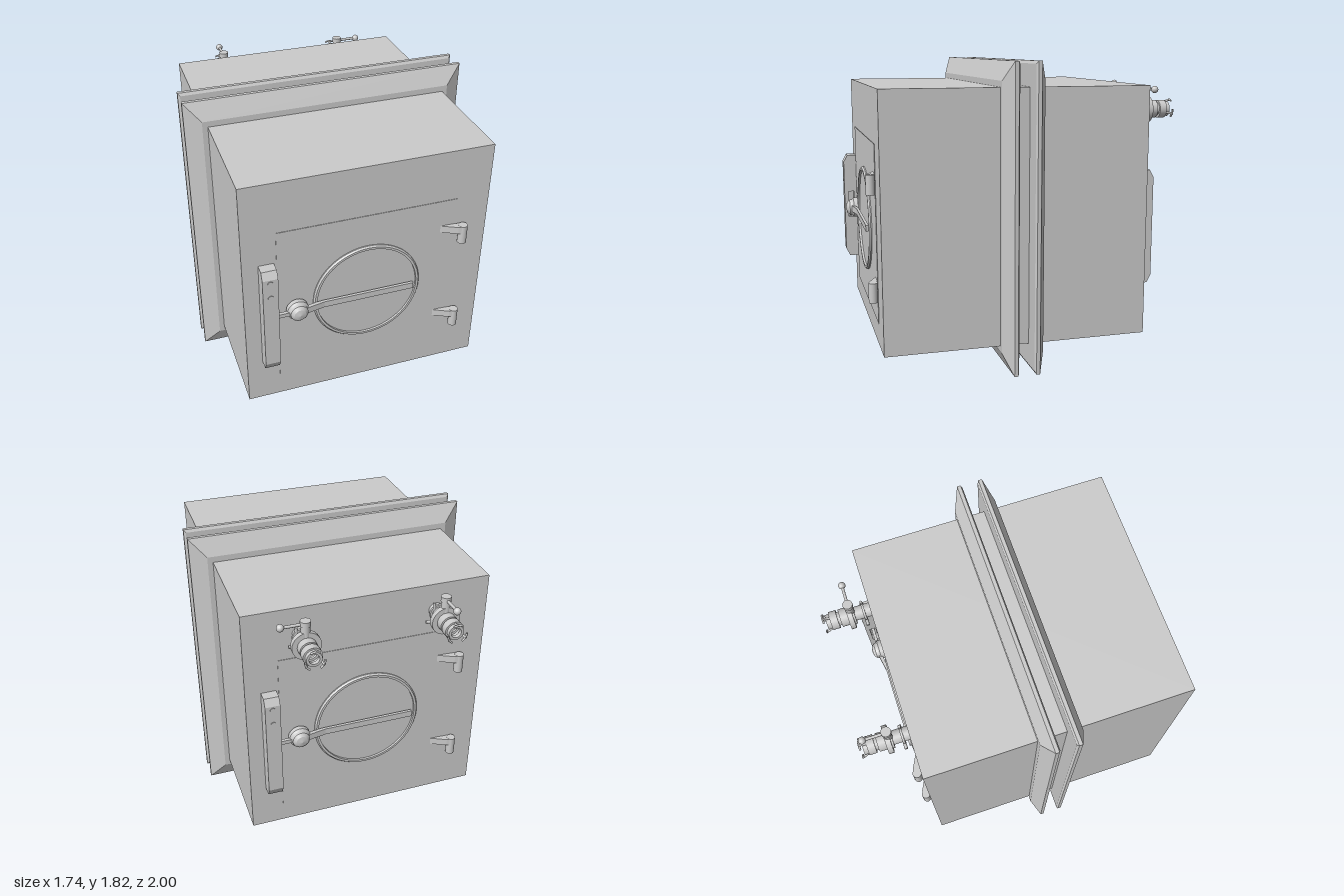
import * as THREE from 'three';

const grey = new THREE.MeshStandardMaterial({ color: 0xcccccc, side: THREE.DoubleSide });
const V = (x, y, z) => new THREE.Vector3(x, y, z);

function add(parent, name, geometry, x = 0, y = 0, z = 0) {
  const mesh = new THREE.Mesh(geometry, grey);
  mesh.name = name;
  mesh.position.set(x, y, z);
  parent.add(mesh);
  return mesh;
}

const box = (w, h, d) => new THREE.BoxGeometry(w, h, d);
const cyl = (r, h, n = 20) => new THREE.CylinderGeometry(r, r, h, n);

// Turned part along z (dir = 1 forward, -1 backward), with crisp edges between steps
function turned(points, dir = 1, segments = 28) {
  const profile = [];
  points.forEach(([r, h], i) => {
    profile.push(new THREE.Vector2(r, h));
    if (i > 0 && i < points.length - 1) profile.push(new THREE.Vector2(r, h + 1e-5));
  });
  return new THREE.LatheGeometry(profile, segments).rotateX(dir * Math.PI / 2);
}

// Straight round rod between two points
function rod(a, b, r) {
  return new THREE.TubeGeometry(new THREE.LineCurve3(a, b), 1, r, 10);
}

// Loft through rectangles [halfWidth, halfHeight, z], capped at both ends
function rectLoft(sections) {
  const pos = [];
  const corners = sections.map(([w, h, z]) => [[-w, -h, z], [w, -h, z], [w, h, z], [-w, h, z]]);
  const quad = (a, b, c, d) => pos.push(...a, ...b, ...c, ...a, ...c, ...d);
  for (let i = 0; i < corners.length - 1; i++) {
    for (let k = 0; k < 4; k++) {
      const n = (k + 1) % 4;
      quad(corners[i][k], corners[i][n], corners[i + 1][n], corners[i + 1][k]);
    }
  }
  const first = corners[0], last = corners[corners.length - 1];
  quad(first[3], first[2], first[1], first[0]);
  quad(last[0], last[1], last[2], last[3]);
  const g = new THREE.BufferGeometry();
  g.setAttribute('position', new THREE.Float32BufferAttribute(pos, 3));
  g.computeVertexNormals();
  return g;
}

// Catch housing slice: chamfered side profile extruded across x, optionally slotted
function housing(width, slotted) {
  const s = new THREE.Shape([[0, 0.44], [0, 1.155], [-0.06, 1.155], [-0.085, 1.11], [-0.085, 0.49], [-0.06, 0.44]]
    .map(p => new THREE.Vector2(...p)));
  if (slotted) {
    s.holes.push(new THREE.Path([[-0.02, 0.72], [-0.06, 0.72], [-0.06, 0.9], [-0.02, 0.9]]
      .map(p => new THREE.Vector2(...p))));
  }
  return new THREE.ExtrudeGeometry(s, { depth: width, bevelEnabled: false }).rotateY(Math.PI / 2);
}

// Door with window, latch and hinges; z = 0 is the wall face
function makeDoor() {
  const door = new THREE.Group();
  add(door, 'doorPanel', box(1.08, 1.07, 0.006), 0, 0.82, 0);

  // Round window
  add(door, 'windowRim', turned([[0.33, 0], [0.33, 0.01], [0.322, 0.02], [0.308, 0.02], [0.308, 0]], 1, 64), 0, 0.82, 0);
  add(door, 'windowPane', new THREE.CircleGeometry(0.31, 64), 0, 0.82, 0.006);

  // Catch housing with two screws
  add(door, 'catchBack', housing(0.05, false), -0.645, 0, 0);
  add(door, 'catchFront', housing(0.04, true), -0.595, 0, 0);
  for (const y of [0.985, 1.085]) {
    add(door, 'catchScrew', cyl(0.016, 0.008).rotateX(Math.PI / 2), -0.6, y, 0.085);
  }

  // Pivot knob, latch tongue and long lever
  add(door, 'pivotKnob', turned([[0.05, 0], [0.065, 0.012], [0.065, 0.04], [0.055, 0.05], [0.052, 0.066], [0.035, 0.082], [0, 0.09]]), -0.43, 0.81, 0);
  add(door, 'latchTongue', box(0.15, 0.024, 0.02), -0.54, 0.805, 0.04);
  const lever = new THREE.Shape();
  lever.moveTo(-0.43, -0.055);
  lever.lineTo(-0.38, -0.055);
  lever.lineTo(-0.27, -0.035);
  lever.lineTo(0.285, -0.035);
  lever.lineTo(0.285, -0.018);
  lever.lineTo(-0.28, -0.018);
  lever.lineTo(-0.39, -0.033);
  lever.lineTo(-0.43, -0.033);
  add(door, 'lever', new THREE.ExtrudeGeometry(lever, { depth: 0.04, bevelEnabled: false })
    .rotateX(-Math.PI / 2).scale(1, 1, 1), 0, 0.79, 0);

  // Hinges
  for (const y of [0.49, 1.127]) {
    add(door, 'hingeBarrel', cyl(0.027, 0.118), 0.575, y, 0.034);
    const leaf = new THREE.Shape([[0.44, 0], [0.57, -0.008], [0.59, -0.03], [0.57, -0.058], [0.54, -0.05]]
      .map(p => new THREE.Vector2(...p)));
    add(door, 'hingeLeaf', new THREE.ExtrudeGeometry(leaf, { depth: 0.045, bevelEnabled: false })
      .rotateX(-Math.PI / 2), 0, y + 0.012, 0);
  }
  // Extrusions laid flat run along +y with depth toward +z
  return door;
}

// Valve pointing backward from the wall at z = 0; leverAngle turns the hand lever
function makeValve(leverAngle) {
  const valve = new THREE.Group();
  valve.name = 'valve';
  add(valve, 'neck', turned([[0, 0], [0.042, 0], [0.042, 0.1], [0.06, 0.1], [0.06, 0.112], [0.085, 0.112],
    [0.085, 0.143], [0.055, 0.143], [0.055, 0.19], [0.042, 0.19], [0.042, 0.205], [0.056, 0.205],
    [0.056, 0.25], [0.045, 0.25], [0.045, 0.275], [0.03, 0.275], [0.03, 0.25]], -1), 0, 0, 0);

  // Clamp ring with its small screw
  add(valve, 'clampRing', turned([[0.04, 0.036], [0.055, 0.036], [0.055, 0.05], [0.04, 0.05]], -1));
  add(valve, 'clampScrew', cyl(0.009, 0.14, 10), 0.03, 0, -0.043);
  add(valve, 'clampBolt', cyl(0.01, 0.15, 10).rotateZ(Math.PI / 2), 0, -0.05, -0.043);

  // Stem and ball-ended hand lever
  add(valve, 'stem', cyl(0.026, 0.15), 0, 0.075, -0.12);
  add(valve, 'stemCap', cyl(0.03, 0.03), 0, 0.135, -0.12);
  const hand = new THREE.Group();
  hand.name = 'handLever';
  hand.position.set(0, 0.13, -0.12);
  hand.rotation.y = leverAngle;
  add(hand, 'leverRod', rod(V(0, 0, 0), V(0, 0, -0.13), 0.009));
  add(hand, 'leverBall', new THREE.SphereGeometry(0.022, 16, 12), 0, 0, -0.14);
  valve.add(hand);

  // Open coupling claws at the tip
  for (let i = 0; i < 3; i++) {
    const a = Math.PI / 2 + i * Math.PI * 2 / 3;
    const claw = new THREE.Group();
    claw.name = 'couplingClaw';
    claw.rotation.z = a;
    add(claw, 'clawArm', rod(V(0.04, 0, -0.24), V(0.058, 0, -0.295), 0.007));
    add(claw, 'clawTip', new THREE.TorusGeometry(0.056, 0.006, 8, 12, 1).rotateZ(-0.5), 0, 0, -0.29);
    valve.add(claw);
  }
  return valve;
}

export function createModel() {
  const model = new THREE.Group();
  const midY = 0.912, front = 0.91, back = -0.7;

  add(model, 'cabinet', box(1.476, 1.527, front - back), 0, midY, (front + back) / 2);

  // Pair of bevelled wall flanges facing away from each other
  const flange = rectLoft([[0.855, 0.895, 0.047], [0.868, 0.912, 0.056], [0.868, 0.912, 0.078], [0.77, 0.8, 0.128]]);
  add(model, 'frontFlange', flange, 0, midY, 0.0915);
  add(model, 'backFlange', flange, 0, midY, 0.0915).rotation.y = Math.PI;

  // Identical doors on both ends
  const frontDoor = makeDoor();
  frontDoor.name = 'frontDoor';
  frontDoor.position.z = front;
  const backDoor = makeDoor();
  backDoor.name = 'backDoor';
  backDoor.position.z = back;
  backDoor.rotation.y = Math.PI;
  model.add(frontDoor, backDoor);

  // Two valves on the back wall
  for (const [x, angle] of [[-0.41, 0], [0.41, -Math.PI / 2]]) {
    const valve = makeValve(angle);
    valve.position.set(x, 1.51, back);
    model.add(valve);
  }
  return model;
}
